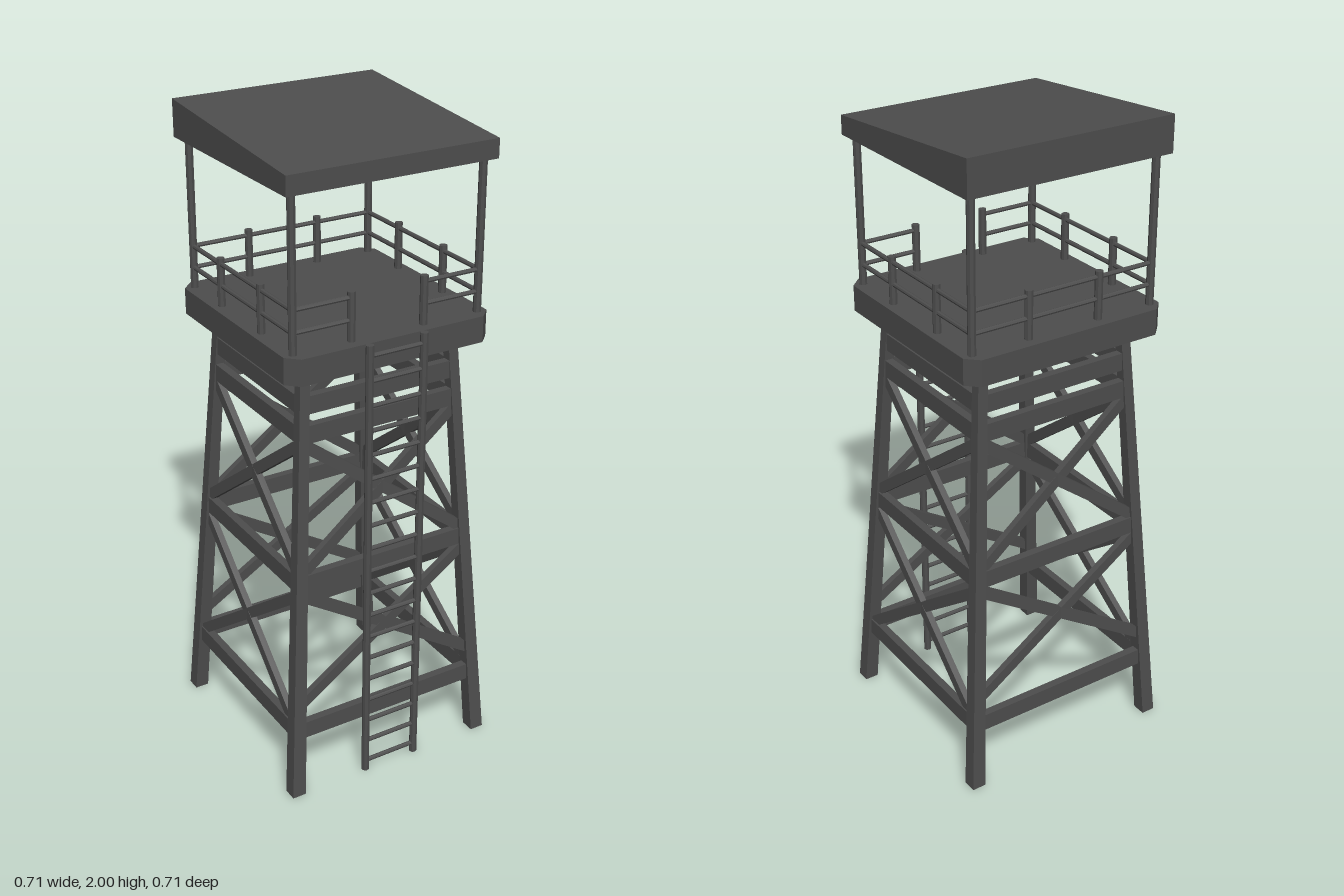
import * as THREE from 'three';

const DECK_BASE = 1.36, DECK_TOP = 1.44;

// Distance of a leg's centre line from the tower axis at height y
const legAt = (y) => 0.331 - (0.086 * y) / DECK_BASE;

export function createModel() {
  const grey = new THREE.MeshStandardMaterial({ color: 0x4d4d4d, flatShading: true });
  grey.name = 'dark grey';
  const model = new THREE.Group();
  model.name = 'watchtower';

  function add(parent, name, geometry, x = 0, y = 0, z = 0) {
    const mesh = new THREE.Mesh(geometry, grey);
    mesh.name = name;
    mesh.position.set(x, y, z);
    parent.add(mesh);
    return mesh;
  }

  function group(name, parent = model) {
    const g = new THREE.Group();
    g.name = name;
    parent.add(g);
    return g;
  }

  // Round bar between two points
  function bar(parent, name, a, b, radius) {
    const from = new THREE.Vector3(...a), to = new THREE.Vector3(...b);
    const dir = to.clone().sub(from);
    const mesh = add(parent, name, new THREE.CylinderGeometry(radius, radius, dir.length(), 8));
    mesh.position.copy(from).add(to).multiplyScalar(0.5);
    mesh.quaternion.setFromUnitVectors(new THREE.Vector3(0, 1, 0), dir.normalize());
  }

  // Flat plank between two points, its broad side facing +z
  function plank(parent, name, a, b, width, thickness) {
    const from = new THREE.Vector3(...a), to = new THREE.Vector3(...b);
    const dir = to.clone().sub(from);
    const mesh = add(parent, name, new THREE.BoxGeometry(dir.length(), width, thickness));
    mesh.position.copy(from).add(to).multiplyScalar(0.5);
    dir.normalize();
    const up = new THREE.Vector3(0, 0, 1).cross(dir).normalize();
    const out = dir.clone().cross(up);
    mesh.quaternion.setFromRotationMatrix(new THREE.Matrix4().makeBasis(dir, up, out));
  }

  // Leaning, tapered legs
  const legs = group('legs');
  for (const sx of [-1, 1]) for (const sz of [-1, 1]) {
    const geo = new THREE.BoxGeometry(2, DECK_BASE, 2).translate(0, DECK_BASE / 2, 0);
    const p = geo.attributes.position;
    for (let i = 0; i < p.count; i++) {
      const y = p.getY(i), half = y > 0.5 ? 0.0155 : 0.022;
      p.setXYZ(i, sx * legAt(y) + p.getX(i) * half, y, sz * legAt(y) + p.getZ(i) * half);
    }
    geo.computeVertexNormals();
    add(legs, 'leg', geo);
  }

  // Four sides of beams and crossed braces; the lower cross differs by side
  for (let side = 0; side < 4; side++) {
    const frame = group('sideFrame');
    frame.rotation.y = (side * Math.PI) / 2;
    for (const y of [0.219, 0.711, 1.174, 1.262]) {
      const r = legAt(y);
      plank(frame, 'beam', [-r, y, r], [r, y, r], 0.055, 0.025);
    }
    const lower = side % 2 ? [0.22, 0.672] : [0.3, 0.675];
    for (const [y0, y1] of [lower, [0.735, 1.145]]) {
      const r0 = legAt(y0), r1 = legAt(y1);
      for (const s of [-1, 1]) {
        plank(frame, 'brace', [-s * r0, y0, r0], [s * r1, y1, r1], 0.034, 0.02);
      }
    }
  }

  // Deck with cut corners
  const h = 0.333, c = 0.297;
  const outline = new THREE.Shape([
    [c, -h], [h, -c], [h, c], [c, h], [-c, h], [-h, c], [-h, -c], [-c, -h],
  ].map(([x, y]) => new THREE.Vector2(x, y)));
  const deck = new THREE.ExtrudeGeometry(outline, { depth: DECK_TOP - DECK_BASE, bevelEnabled: false });
  add(model, 'deck', deck.rotateX(-Math.PI / 2), 0, DECK_BASE, 0);

  // Roof posts
  const px = 0.302, pz = 0.293;
  const posts = group('roofPosts');
  for (const sx of [-1, 1]) for (const sz of [-1, 1]) {
    bar(posts, 'roofPost', [sx * px, DECK_TOP, sz * pz], [sx * px, 1.9, sz * pz], 0.012);
  }

  // Railing, open at the front for the ladder
  const railing = group('railing');
  const gap = 0.118;
  for (const s of [-1, 1]) {
    for (const t of [-gap, gap]) {
      bar(railing, 'railPost', [t, DECK_TOP, s * pz], [t, 1.586, s * pz], 0.012);
      bar(railing, 'railPost', [s * px, DECK_TOP, t], [s * px, 1.586, t], 0.012);
    }
    for (const y of [1.502, 1.568]) {
      bar(railing, 'sideRail', [s * px, y, -pz], [s * px, y, pz], 0.007);
      bar(railing, 'frontRail', [s * gap, y, pz], [s * px, y, pz], 0.007);
    }
  }
  for (const y of [1.502, 1.568]) bar(railing, 'backRail', [-px, y, -pz], [px, y, -pz], 0.007);

  // Sloping roof, higher at the back
  const roof = new THREE.BoxGeometry(0.665, 0.11, 0.648).translate(0, 1.945, -0.002);
  const rp = roof.attributes.position;
  for (let i = 0; i < rp.count; i++) {
    if (rp.getY(i) > 1.95 && rp.getZ(i) > 0) rp.setY(i, 1.947);
  }
  roof.computeVertexNormals();
  add(model, 'roof', roof);

  // Ladder
  const ladder = group('ladder');
  const lx = 0.089, lz = 0.343;
  for (const s of [-1, 1]) bar(ladder, 'ladderRail', [s * lx, 0, lz], [s * lx, DECK_TOP, lz], 0.012);
  for (let i = 0; i < 19; i++) {
    const y = 0.032 + i * 0.0764;
    bar(ladder, 'rung', [-lx, y, lz], [lx, y, lz], 0.007);
  }

  return model;
}
